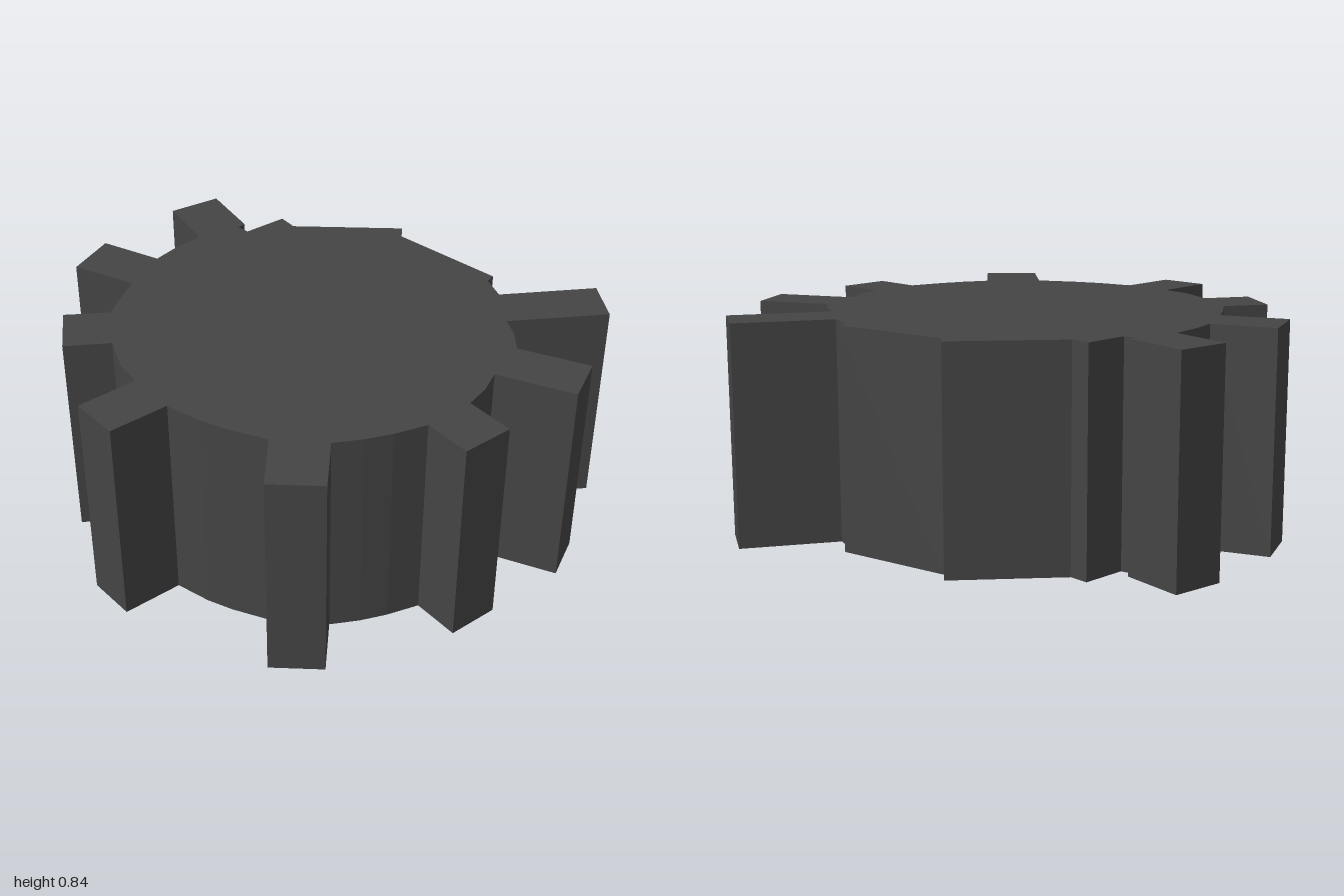
import * as THREE from 'three';

const HEIGHT = 0.84;

// Each tooth: root, two tip corners, root, given as [x, z] and followed by
// the stretch of worn rim that leads to the next tooth.
const sectors = [
  { tooth: [[-0.235, -0.7], [-0.3, -0.95], [-0.1, -1.0], [-0.045, -0.76]],
    rim: [[0.06, -0.765], [0.185, -0.755]] },
  { tooth: [[0.185, -0.75], [0.26, -0.985], [0.455, -0.925], [0.38, -0.69]],
    rim: [[0.345, -0.69], [0.345, -0.64], [0.515, -0.605], [0.5, -0.53],
      [0.78, -0.19], [0.73, -0.15], [0.73, 0.305], [0.69, 0.31]] },
  { tooth: [[0.64, 0.4], [0.925, 0.65], [0.805, 0.79], [0.51, 0.53]],
    rim: [[0.46, 0.6]] },
  { tooth: [[0.39, 0.665], [0.48, 0.93], [0.3, 0.99], [0.205, 0.7]],
    rim: [[0.11, 0.73]] },
  { tooth: [[0.01, 0.74], [-0.02, 0.93], [-0.215, 0.895], [-0.185, 0.71]],
    rim: [[-0.3, 0.655], [-0.39, 0.6]] },
  { tooth: [[-0.48, 0.53], [-0.66, 0.67], [-0.79, 0.51], [-0.605, 0.36]],
    rim: [[-0.66, 0.21], [-0.685, 0.11]] },
  { tooth: [[-0.7, -0.03], [-0.93, -0.07], [-0.905, -0.26], [-0.67, -0.22]],
    rim: [[-0.64, -0.33], [-0.58, -0.43]] },
  { tooth: [[-0.565, -0.455], [-0.7, -0.575], [-0.56, -0.73], [-0.43, -0.61]],
    rim: [[-0.32, -0.665]] },
];

export function createModel() {
  const group = new THREE.Group();
  group.name = 'gear';

  // Gear outline, drawn flat and raised upright
  const outline = sectors.flatMap(({ tooth, rim }) => [...tooth, ...rim]);
  const shape = new THREE.Shape(outline.map(([x, z]) => new THREE.Vector2(x, -z)));
  const geometry = new THREE.ExtrudeGeometry(shape, { depth: HEIGHT, bevelEnabled: false });
  geometry.rotateX(-Math.PI / 2);

  const material = new THREE.MeshStandardMaterial({ color: 0x444444 });
  const wheel = new THREE.Mesh(geometry, material);
  wheel.name = 'toothedWheel';
  group.add(wheel);

  return group;
}
